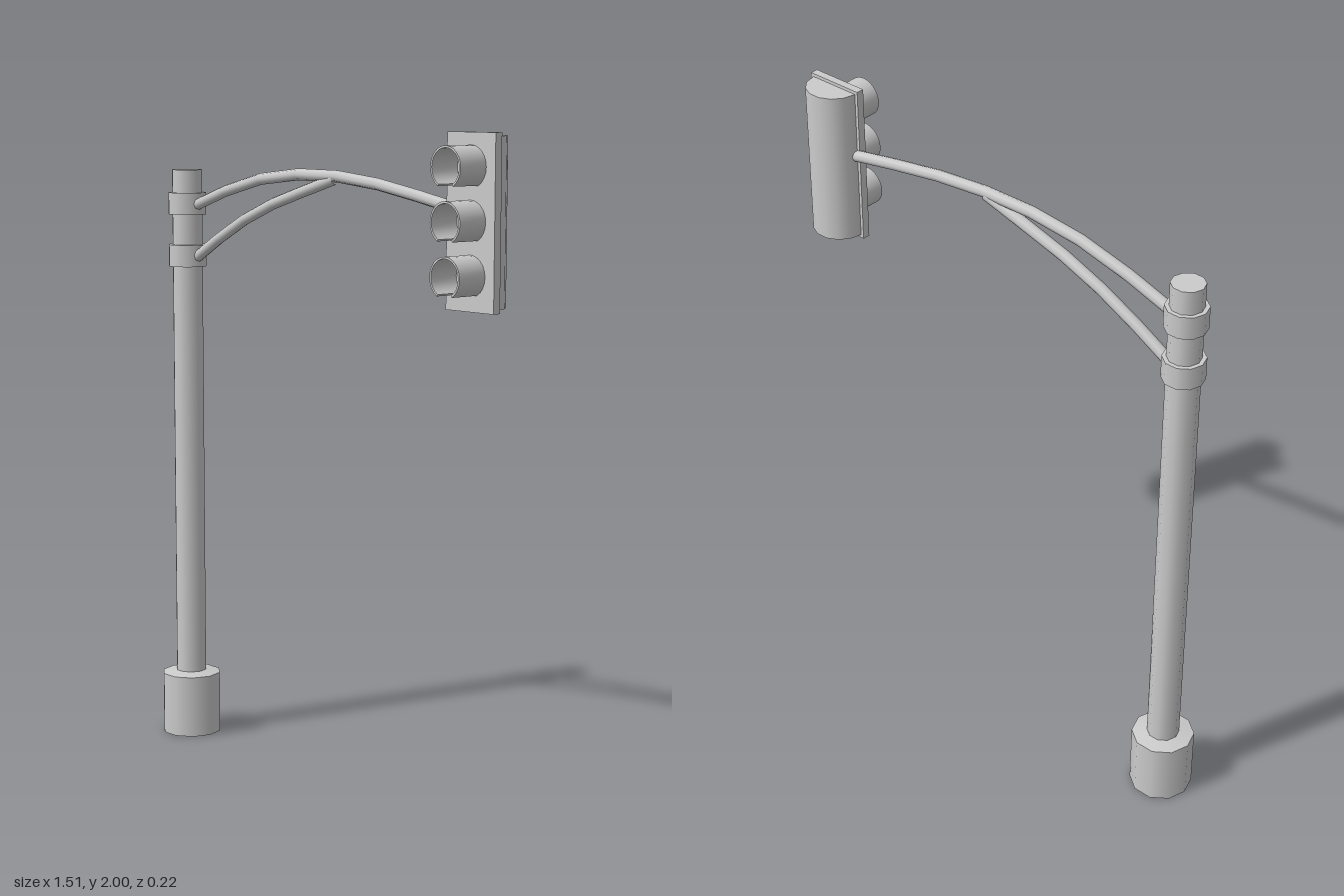
import * as THREE from 'three';
import { toCreasedNormals } from 'three/addons/utils/BufferGeometryUtils.js';

const POLE_X = -0.66, POLE_Z = -0.017;
const HEAD_X = 0.658, HEAD_BACK = -0.017;

export function createModel() {
  const model = new THREE.Group();
  const grey = new THREE.MeshStandardMaterial({ color: 0xcccccc });

  const add = (name, geometry, x = 0, y = 0, z = 0) => {
    const mesh = new THREE.Mesh(geometry, grey);
    mesh.name = name;
    mesh.position.set(x, y, z);
    model.add(mesh);
    return mesh;
  };

  // Ten-sided upright piece on the pole axis, with corners on the x axis
  const upright = (name, rTop, rBottom, y0, y1) => {
    const g = new THREE.CylinderGeometry(rTop, rBottom, y1 - y0, 10);
    g.rotateY(Math.PI / 2);
    add(name, g, POLE_X, (y0 + y1) / 2, POLE_Z);
  };

  // Pole, footing and the two clamps
  upright('base', 0.097, 0.097, 0, 0.2);
  upright('baseTop', 0.05, 0.097, 0.2, 0.208);
  upright('pole', 0.05, 0.05, 0.2, 1.86);
  upright('lowerCollar', 0.063, 0.063, 1.55, 1.62);
  upright('upperCollar', 0.063, 0.063, 1.717, 1.787);

  // Bent tubes: main arm and the brace below it
  const bentTube = (name, points, segments) => {
    const curve = new THREE.CatmullRomCurve3(
      points.map(([x, y]) => new THREE.Vector3(x, y, POLE_Z)));
    add(name, new THREE.TubeGeometry(curve, segments, 0.018, 8));
  };
  bentTube('arm', [[-0.63, 1.742], [-0.42, 1.81], [-0.23, 1.85], [0, 1.862],
    [0.25, 1.842], [0.6, 1.78]], 7);
  bentTube('brace', [[-0.63, 1.57], [-0.48, 1.655], [-0.29, 1.745], [0.06, 1.852]], 5);

  // Signal head: front plate and half-round housing behind it
  add('backplate', new THREE.BoxGeometry(0.19, 0.5, 0.025), HEAD_X, 1.75, HEAD_BACK + 0.0125);
  add('housing', new THREE.CylinderGeometry(0.085, 0.085, 0.48, 7, 1, false, Math.PI / 2, Math.PI),
    HEAD_X, 1.75, HEAD_BACK);

  // Visors: thin round hoods with a gap at the bottom
  const gap = Math.PI / 6, start = -Math.PI / 2 + gap, end = 1.5 * Math.PI - gap;
  const hood = new THREE.Shape();
  hood.absarc(0, 0, 0.06, start, end, false);
  hood.absarc(0, 0, 0.054, end, start, true);
  hood.closePath();
  const hoodGeometry = toCreasedNormals(
    new THREE.ExtrudeGeometry(hood, { depth: 0.102, bevelEnabled: false, curveSegments: 10 }), 0.8);
  ['lowerVisor', 'middleVisor', 'upperVisor'].forEach((name, i) =>
    add(name, hoodGeometry, HEAD_X, 1.6 + i * 0.1525, 0.005));

  return model;
}
